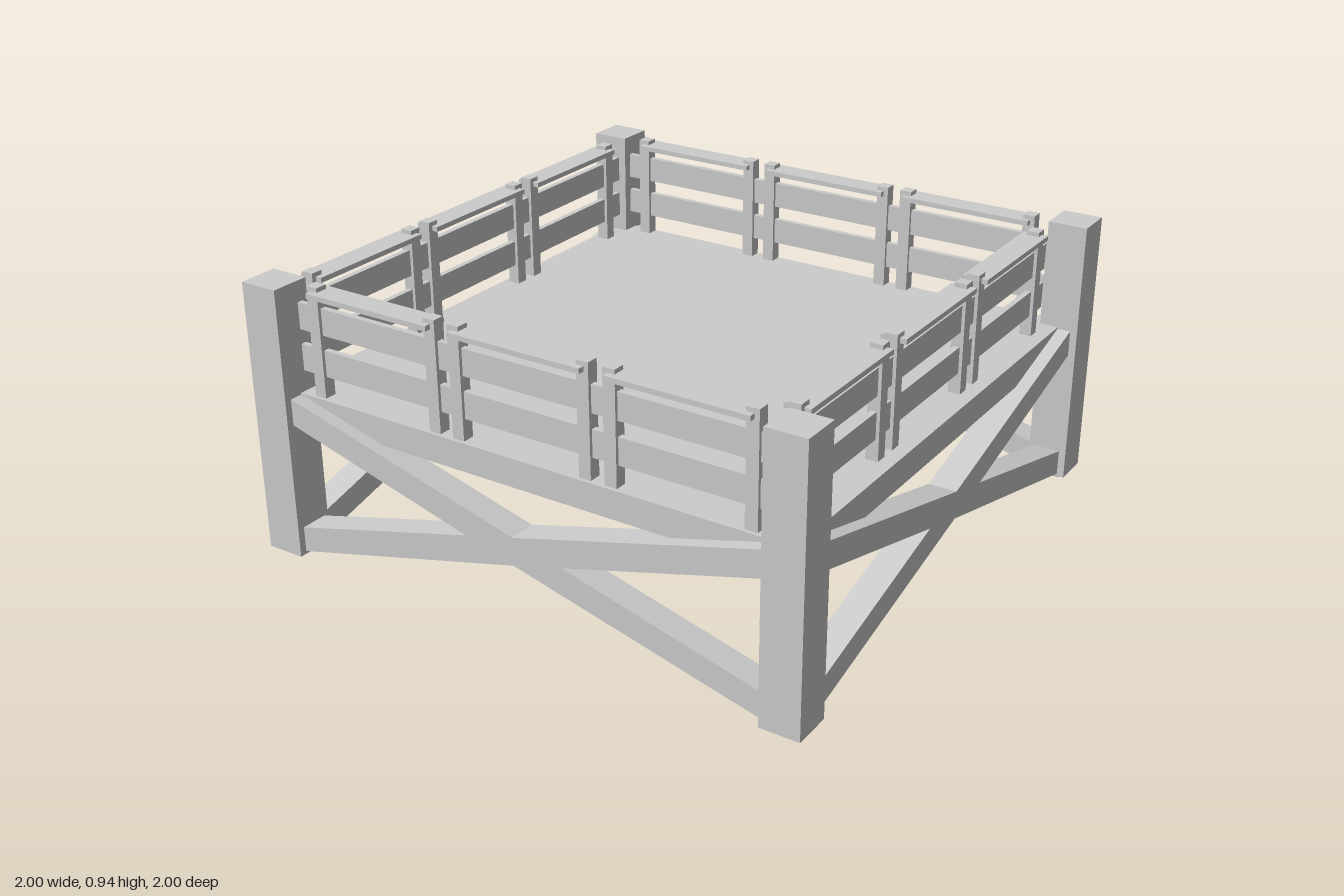
import * as THREE from 'three';

const material = new THREE.MeshStandardMaterial({ color: 0xcccccc, flatShading: true });

function addBox(parent, name, size, position) {
  const mesh = new THREE.Mesh(new THREE.BoxGeometry(...size), material);
  mesh.name = name;
  mesh.position.set(...position);
  parent.add(mesh);
}

// Diagonal beam in the XY plane with plumb-cut ends and a flat foot
function braceGeometry(thickness) {
  const shape = new THREE.Shape([
    [-0.98, 0], [-0.88, 0], [-0.865, 0.02], [0, 0.24], [0.865, 0.475],
    [0.9, 0.48], [0.9, 0.565], [0.865, 0.565], [0, 0.335], [-0.865, 0.108], [-0.98, 0.08],
  ].map(([x, y]) => new THREE.Vector2(x, y)));
  const geometry = new THREE.ExtrudeGeometry(shape, { depth: thickness, bevelEnabled: false });
  geometry.translate(0, 0, -thickness / 2);
  return geometry;
}

// Three fence panels in a row along X, sharing two long rails
function createRailing(name) {
  const railing = new THREE.Group();
  railing.name = name;
  for (const y of [0.685, 0.825]) addBox(railing, 'rail', [1.735, 0.09, 0.02], [0, y, 0]);
  for (const x of [-0.555, 0, 0.555]) {
    addBox(railing, 'railingCap', [0.475, 0.017, 0.085], [x, 0.917, 0]);
    for (const side of [-1, 1]) {
      addBox(railing, 'railingPost', [0.042, 0.375, 0.042], [x + side * 0.2325, 0.7525, 0]);
    }
  }
  return railing;
}

export function createModel() {
  const model = new THREE.Group();
  model.name = 'raisedPlatform';

  // Deck slab
  addBox(model, 'deck', [1.86, 0.095, 1.86], [0, 0.5225, 0]);

  // Corner posts
  for (const x of [-1, 1]) {
    for (const z of [-1, 1]) {
      addBox(model, 'cornerPost', [0.135, 0.93, 0.135], [x * 0.9325, 0.475, z * 0.9325]);
    }
  }

  // Crossed braces on all four sides
  const brace = braceGeometry(0.095);
  for (let i = 0; i < 4; i++) {
    const side = new THREE.Group();
    side.name = 'crossBrace';
    side.rotation.y = i * Math.PI / 2;
    for (const turn of [0, Math.PI]) {
      const beam = new THREE.Mesh(brace, material);
      beam.name = 'braceBeam';
      beam.rotation.y = turn;
      beam.position.z = 0.928;
      side.add(beam);
    }
    model.add(side);
  }

  // Railings, slightly offset from the deck centre
  const railings = [
    ['frontRailing', -0.0025, 0.897, 0],
    ['backRailing', -0.0025, -0.907, 0],
    ['leftRailing', 0.862, 0.025, Math.PI / 2],
    ['rightRailing', -0.888, 0.025, Math.PI / 2],
  ];
  for (const [name, x, z, turn] of railings) {
    const railing = createRailing(name);
    railing.position.set(x, 0, z);
    railing.rotation.y = turn;
    model.add(railing);
  }
  return model;
}
